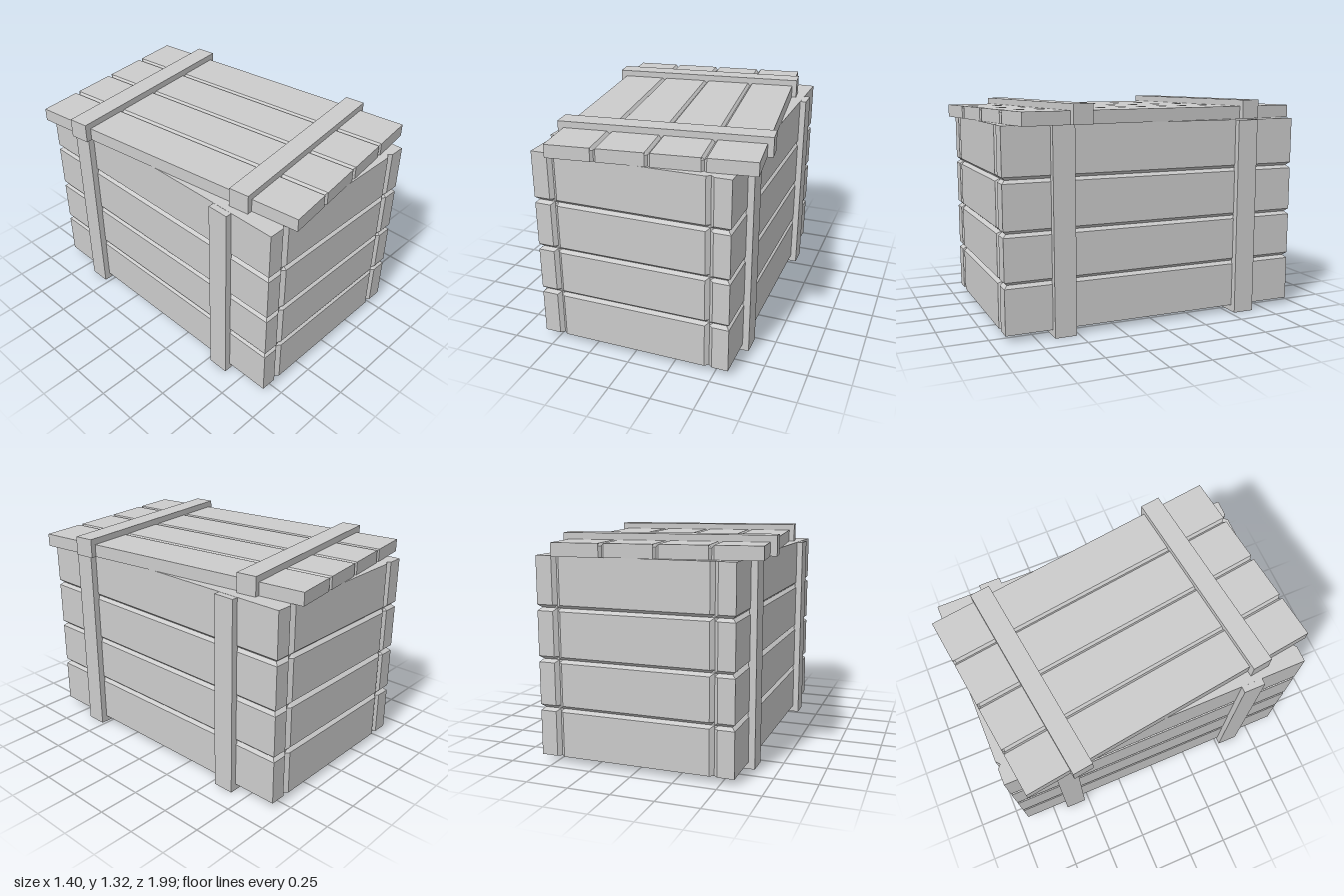
import * as THREE from 'three';

const material = new THREE.MeshStandardMaterial({ color: 0xcccccc, flatShading: true });

function add(parent, name, geometry, x = 0, y = 0, z = 0) {
  const mesh = new THREE.Mesh(geometry, material);
  mesh.name = name;
  mesh.position.set(x, y, z);
  parent.add(mesh);
  return mesh;
}

// Closed solid through stacked outlines; each ring is a list of [x, z], counterclockwise from above.
function stack(levels) {
  const pos = [];
  const rings = levels.map(({ y, ring }) => ring.map(([x, z]) => [x, y, z]));
  const cap = (ring, up) => {
    const n = ring.length;
    const c = [0, 1, 2].map((k) => ring.reduce((s, p) => s + p[k], 0) / n);
    ring.forEach((p, i) => {
      const q = ring[(i + 1) % n];
      pos.push(...c, ...(up ? p : q), ...(up ? q : p));
    });
  };
  for (let r = 0; r < rings.length - 1; r++) {
    const a = rings[r], b = rings[r + 1];
    a.forEach((p, i) => {
      const j = (i + 1) % a.length;
      pos.push(...p, ...a[j], ...b[j], ...p, ...b[j], ...b[i]);
    });
  }
  cap(rings[0], false);
  cap(rings[rings.length - 1], true);
  const geometry = new THREE.BufferGeometry();
  geometry.setAttribute('position', new THREE.Float32BufferAttribute(pos, 3));
  geometry.computeVertexNormals();
  return geometry;
}

// Crate body: V-grooves run around it and down both ends
function bodyGeometry() {
  const W = 0.582, D = 0.93, depth = 0.02;
  const front = [[-W, D], [-0.485, D], [-0.463, D - depth], [-0.44, D],
    [0.44, D], [0.463, D - depth], [0.485, D], [W, D]];
  const outline = [...front, ...front.map(([x, z]) => [-x, -z])];
  const clamp = THREE.MathUtils.clamp;
  const inset = outline.map(([x, z]) =>
    [clamp(x, depth - W, W - depth), clamp(z, depth - D, D - depth)]);
  const levels = [{ y: 0.04, ring: outline }];
  for (const y of [0.324, 0.61, 0.906]) {
    levels.push({ y: y - 0.018, ring: outline }, { y, ring: inset }, { y: y + 0.018, ring: outline });
  }
  levels.push({ y: 1.2, ring: outline });
  return stack(levels);
}

// U-shaped strap under the crate and up both sides
function strapGeometry() {
  const o = 0.62, i = 0.575;
  const shape = new THREE.Shape([[-o, 0], [o, 0], [o, 1.199], [i, 1.199], [i, 0.045],
    [-i, 0.045], [-i, 1.199], [-o, 1.199]].map(([x, y]) => new THREE.Vector2(x, y)));
  return new THREE.ExtrudeGeometry(shape, { depth: 0.13, bevelEnabled: false }).translate(0, 0, -0.065);
}

// Lid plank between x0 and x1, chamfered by l and r along its left and right seams
function plankGeometry(x0, x1, l, r) {
  const D = 0.925;
  const ring = [[x0 + l, D], [x1 - r, D], [x1, D - r], [x1, r - D],
    [x1 - r, -D], [x0 + l, -D], [x0, l - D], [x0, D - l]];
  const top = ring.map(([x, z]) => [THREE.MathUtils.clamp(x, x0 + l, x1 - r), z]);
  return stack([{ y: 1.2, ring }, { y: 1.262, ring }, { y: 1.277, ring: top }]);
}

export function createModel() {
  const model = new THREE.Group();
  model.name = 'crate';

  add(model, 'body', bodyGeometry(), 0.002, 0, -0.005);
  const strap = strapGeometry();
  add(model, 'frontStrap', strap, 0.002, 0, 0.583);
  add(model, 'backStrap', strap, 0.002, 0, -0.593);

  // Lid, set down askew
  const lid = new THREE.Group();
  lid.name = 'lid';
  lid.rotation.y = 0.132;
  model.add(lid);

  const seams = [-0.581, -0.306, -0.007, 0.295, 0.581];
  const c = 0.015;
  for (let i = 0; i < 4; i++) {
    add(lid, `lidPlank${i + 1}`,
      plankGeometry(seams[i], seams[i + 1], i > 0 ? c : 0, i < 3 ? c : 0));
  }
  const batten = new THREE.BoxGeometry(1.23, 0.114, 0.122);
  add(lid, 'frontBatten', batten, 0, 1.258, 0.579);
  add(lid, 'backBatten', batten, -0.004, 1.258, -0.593);

  return model;
}
